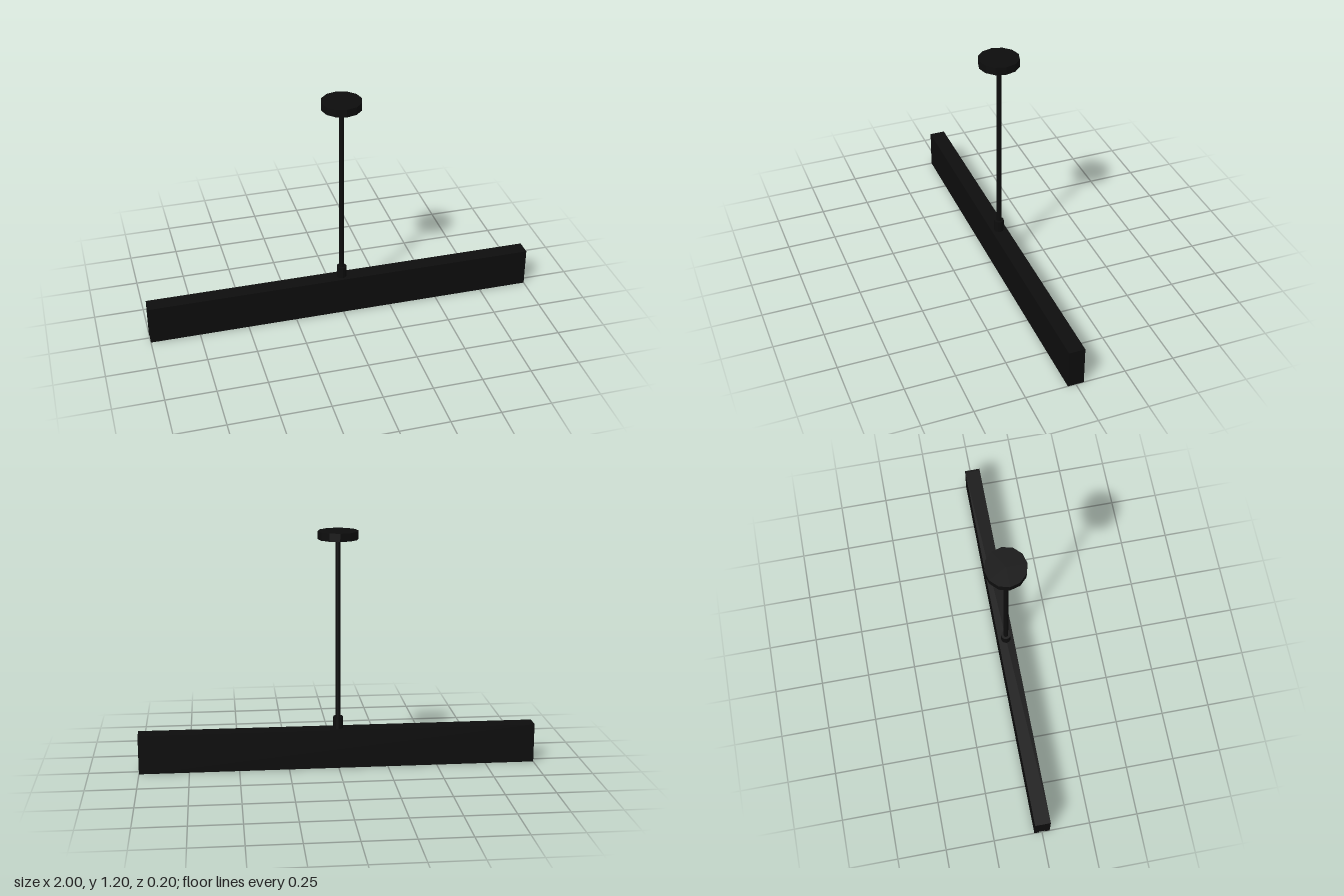
import * as THREE from 'three';

export function createModel() {
  const group = new THREE.Group();
  const black = new THREE.MeshStandardMaterial({ color: 0x0d0d0d, flatShading: true });
  black.name = 'matte black';

  const add = (name, geometry, x, y) => {
    const mesh = new THREE.Mesh(geometry, black);
    mesh.name = name;
    mesh.position.set(x, y, 0);
    group.add(mesh);
  };

  // Long housing: a channel section with a shallow light slot underneath
  const half = 0.04, height = 0.2, slot = 0.015, depth = 0.02, cap = 0.01;
  const section = new THREE.Shape([
    [-half, 0], [-slot, 0], [-slot, depth], [slot, depth],
    [slot, 0], [half, 0], [half, height], [-half, height],
  ].map(([z, y]) => new THREE.Vector2(z, y)));
  const housing = new THREE.ExtrudeGeometry(section, { depth: 2 - cap, bevelEnabled: false });
  housing.rotateY(Math.PI / 2);
  add('housing', housing, -1, 0);

  // The slot is closed at one end only
  add('endCap', new THREE.BoxGeometry(cap, height, half * 2), 1 - cap / 2, height / 2);

  // Round parts of the suspension: name, radius, bottom, top, sides
  [
    ['collar', 0.025, 0.2, 0.26, 12],
    ['rod', 0.0125, 0.26, 1.16, 12],
    ['ceilingCanopy', 0.1, 1.16, 1.2, 12],
  ].forEach(([name, radius, bottom, top, sides]) => {
    add(name, new THREE.CylinderGeometry(radius, radius, top - bottom, sides), 0, (bottom + top) / 2);
  });

  return group;
}
